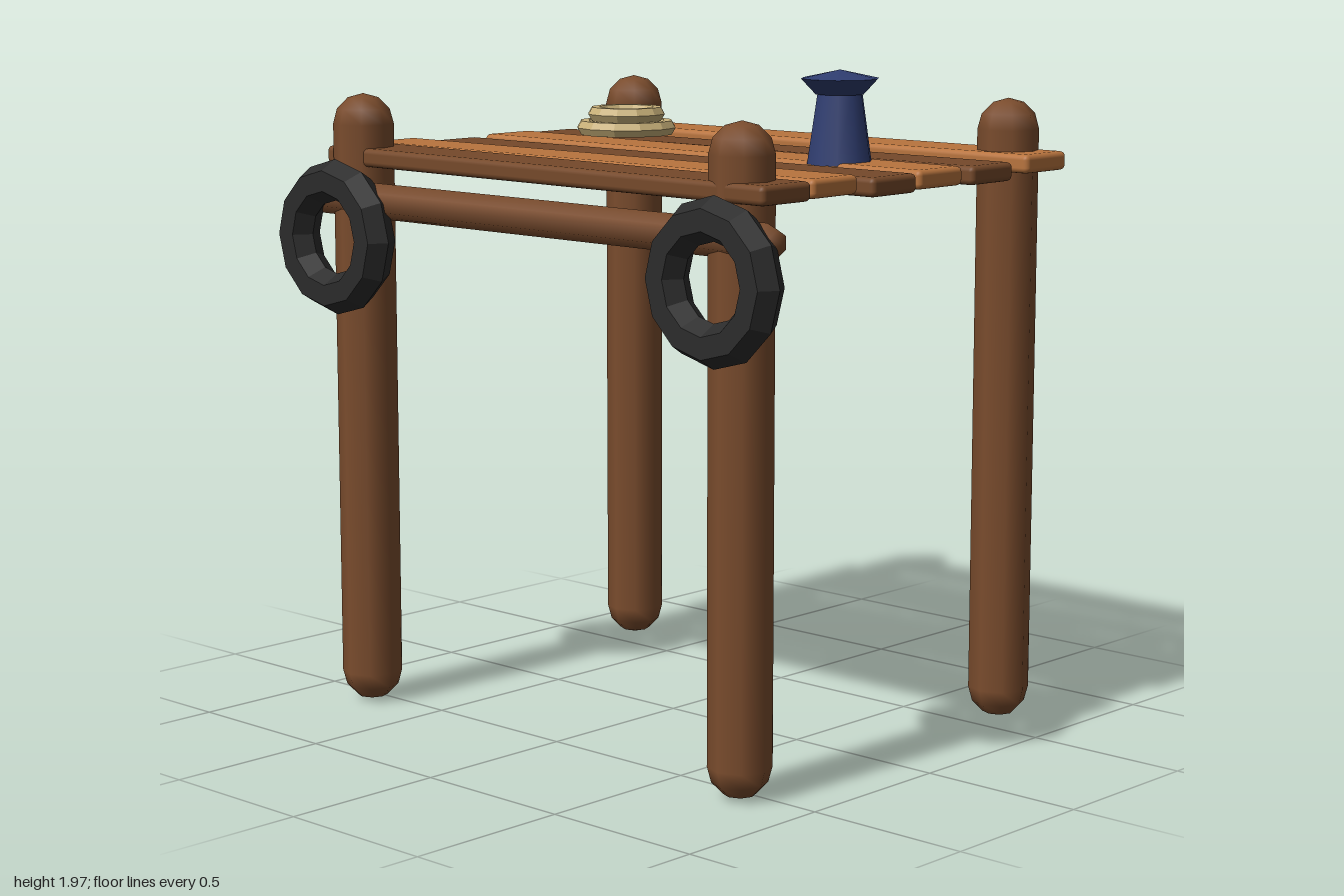
import * as THREE from 'three';
import { RoundedBoxGeometry } from 'three/addons/geometries/RoundedBoxGeometry.js';

function material(name, color, flatShading = false) {
  const m = new THREE.MeshStandardMaterial({ color, flatShading });
  m.name = name;
  return m;
}

export function createModel() {
  const group = new THREE.Group();
  const postWood = material('post wood', 0x7a4c2d);
  const lightWood = material('light plank wood', 0xb8743e);
  const darkWood = material('dark plank wood', 0x75492a);
  const rubber = material('rubber', 0x2b2b2b, true);
  const ropeFibre = material('rope fibre', 0xc9b17a, true);
  const bluePaint = material('blue paint', 0x2f3d70);

  function add(name, geometry, mat, x, y, z) {
    const mesh = new THREE.Mesh(geometry, mat);
    mesh.name = name;
    mesh.position.set(x, y, z);
    group.add(mesh);
    return mesh;
  }

  // Four round-ended posts
  const postGeo = new THREE.CapsuleGeometry(0.091, 1.688, 3, 8);
  for (const x of [-0.765, 0.765]) {
    add('frontPost', postGeo, postWood, x, 0.935, 0.545);
    add('backPost', postGeo, postWood, x, 0.935, -0.625);
  }

  // Deck planks, back to front: centre x, y, z, turn, material
  const plankGeo = new RoundedBoxGeometry(1.79, 0.055, 0.195, 2, 0.016);
  const planks = [
    [0.025, 1.69, -0.605, 0.005, lightWood],
    [-0.005, 1.67, -0.382, 0.013, darkWood],
    [0.003, 1.676, -0.157, -0.013, lightWood],
    [0.006, 1.67, 0.067, 0.006, darkWood],
    [-0.023, 1.68, 0.292, 0.012, lightWood],
    [0.025, 1.683, 0.52, -0.017, darkWood],
  ];
  for (const [x, y, z, turn, mat] of planks) {
    add('plank', plankGeo, mat, x, y, z).rotation.y = turn;
  }

  // Front rail under the deck
  const rail = add('frontRail', new THREE.CapsuleGeometry(0.053, 1.8, 2, 6), postWood, 0, 1.557, 0.595);
  rail.rotation.z = Math.PI / 2;

  // Tyre fenders hung on the front posts
  const tyreGeo = new THREE.TorusGeometry(0.172, 0.062, 6, 12);
  for (const x of [-0.767, 0.767]) add('tyreFender', tyreGeo, rubber, x, 1.445, 0.657);

  // Coil of rope: two stacked rings
  for (const [radius, y] of [[0.133, 1.738], [0.098, 1.78]]) {
    add('ropeCoil', new THREE.TorusGeometry(radius, 0.025, 6, 12), ropeFibre, -0.455, y, -0.27)
      .rotation.x = Math.PI / 2;
  }

  // Mooring bollard: tapered body and flared cap
  add('bollardBody', new THREE.CylinderGeometry(0.066, 0.096, 0.205, 10), bluePaint, 0.535, 1.7975, -0.13);
  add('bollardFlare', new THREE.CylinderGeometry(0.115, 0.072, 0.045, 10, 1), bluePaint, 0.535, 1.9175, -0.13);
  add('bollardTop', new THREE.ConeGeometry(0.115, 0.025, 10, 1, true), bluePaint, 0.535, 1.9525, -0.13);

  return group;
}
